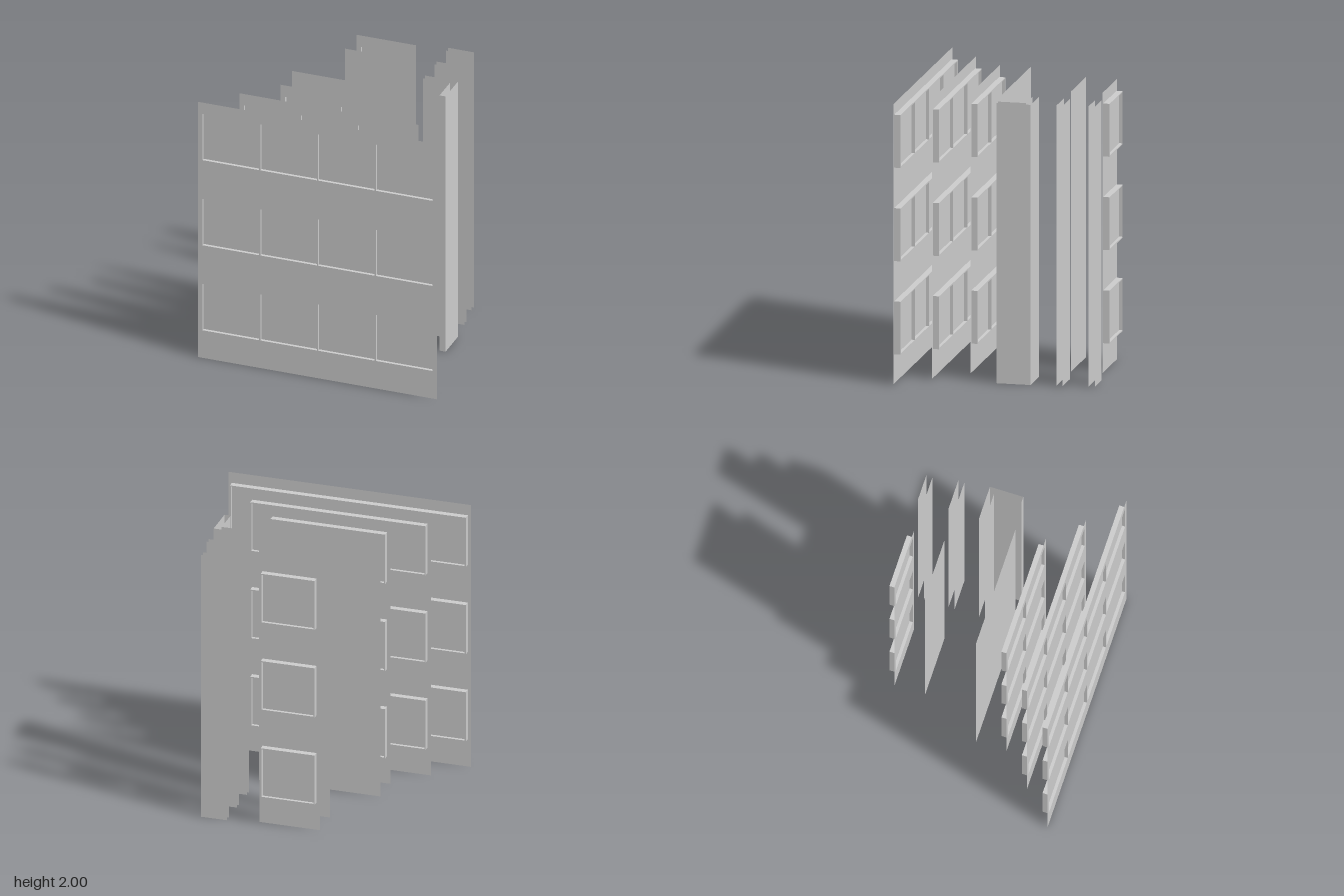
import * as THREE from 'three';

const U = 0.444;             // width of one wall bay
const H = 2;                 // wall height
const DEPTH = 0.045;         // window frame depth
const BAR = 0.008;           // frame bar thickness
const WIN_H = 0.378;         // outer window height
const ROWS = [0.397, 1.063, 1.73];

const solid = new THREE.MeshStandardMaterial({ color: 0xcccccc, flatShading: true });
const thin = new THREE.MeshStandardMaterial({ color: 0xcccccc, flatShading: true, side: THREE.DoubleSide });

// Traces a rectangle onto a Shape or Path
function rect(path, x0, y0, x1, y1) {
  path.moveTo(x0, y0);
  path.lineTo(x1, y0);
  path.lineTo(x1, y1);
  path.lineTo(x0, y1);
  path.closePath();
  return path;
}

function add(parent, name, geometry, material) {
  const mesh = new THREE.Mesh(geometry, material);
  mesh.name = name;
  parent.add(mesh);
  return mesh;
}

// Thin sheet facing z
function sheet(parent, name, x0, x1, z) {
  const m = add(parent, name, new THREE.PlaneGeometry(x1 - x0, H), thin);
  m.position.set((x0 + x1) / 2, H / 2, z);
}

// Thin sheet facing x
function sideSheet(parent, name, x, z0, z1) {
  const m = add(parent, name, new THREE.PlaneGeometry(z1 - z0, H).rotateY(Math.PI / 2), thin);
  m.position.set(x, H / 2, (z0 + z1) / 2);
}

// Wall sheet with three rows of framed windows, n bays wide
function windowWall(n, z) {
  const group = new THREE.Group();
  group.name = `windowWall${n}Bay`;
  const w = n * U / 2;
  const outer = w - 0.025;
  const wall = rect(new THREE.Shape(), -w, 0, w, H);

  // Frame outline with one opening per bay
  const hy = WIN_H / 2;
  const frame = rect(new THREE.Shape(), -outer, -hy, outer, hy);
  const cell = (2 * outer - (n + 1) * BAR) / n;
  for (let i = 0; i < n; i++) {
    const x = -outer + BAR + i * (cell + BAR);
    frame.holes.push(rect(new THREE.Path(), x, -hy + BAR, x + cell, hy - BAR));
  }
  const frameGeo = new THREE.ExtrudeGeometry(frame, { depth: DEPTH, bevelEnabled: false });
  const paneGeo = new THREE.PlaneGeometry(2 * outer - BAR, WIN_H - BAR);

  for (const y of ROWS) {
    wall.holes.push(rect(new THREE.Path(), -outer, y - hy, outer, y + hy));
    add(group, 'windowFrame', frameGeo, solid).position.set(0, y, -DEPTH);
    add(group, 'windowPane', paneGeo, thin).position.set(0, y, -DEPTH / 2);
  }
  add(group, 'wallSheet', new THREE.ShapeGeometry(wall), thin);
  group.position.z = z;
  return group;
}

export function createModel() {
  const model = new THREE.Group();
  model.name = 'wallPanelKit';

  // Windowed walls
  model.add(windowWall(4, 0.69), windowWall(3, 0.467), windowWall(2, 0.245), windowWall(1, -0.645));

  // Plain walls
  sheet(model, 'plainWallWide', -U, U, 0.023);
  sheet(model, 'plainWallNarrow', -U / 2, U / 2, -0.422);

  // Corner column: inner and outer skins closed by a front edge
  const corner = new THREE.Group();
  corner.name = 'cornerColumn';
  model.add(corner);
  sheet(corner, 'outerBack', U, 0.689, -0.243);
  sideSheet(corner, 'outerSide', 0.689, -0.243, 0);
  sheet(corner, 'innerBack', U, 0.644, -0.2);
  sideSheet(corner, 'innerSide', 0.644, -0.2, 0);
  sheet(corner, 'frontEdge', 0.644, 0.689, 0);

  // Paired narrow strips
  for (const [name, x1, z] of [['wideStrip', 0.667, -0.422], ['narrowStrip', 0.635, -0.645]]) {
    sheet(model, name + 'Front', U, x1, z);
    sheet(model, name + 'Back', U, x1, z - DEPTH);
  }
  return model;
}
